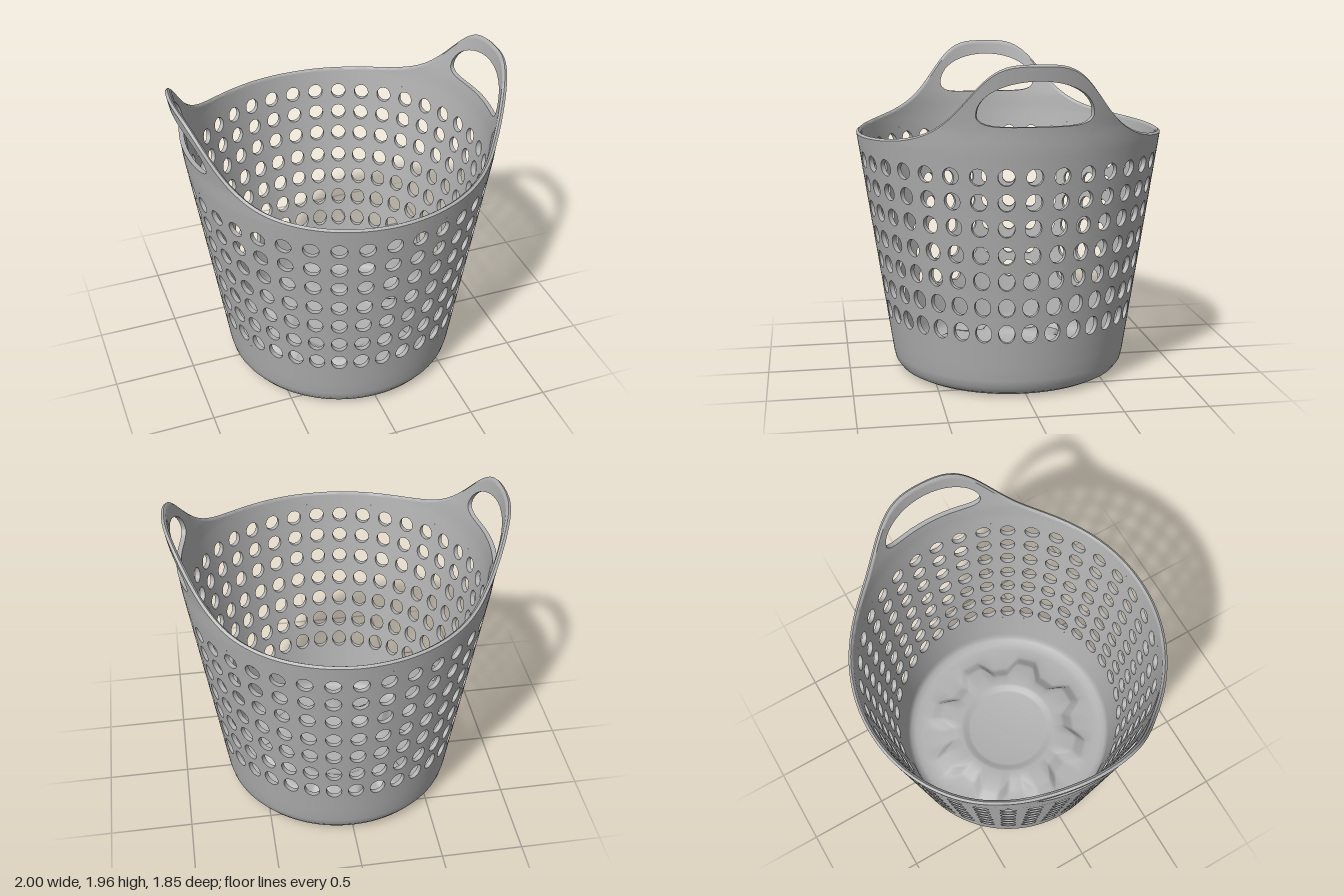
import * as THREE from 'three';
import { toCreasedNormals } from 'three/addons/utils/BufferGeometryUtils.js';

const T = 0.028;              // wall thickness
const COLS = 36;              // holes around
const ROWS = [0.41, 0.57, 0.73, 0.885, 1.045, 1.195, 1.34];
const WALL_BOTTOM = 0.33, WALL_TOP = 1.42;
const RAD = Math.PI / 180;

// Outer radius of the flaring wall at height y
function radius(y) {
  if (y < 1.49) return 0.705 + 0.1475 * y;
  if (y < 1.6) return 0.925 + (y - 1.49) * 0.1;
  return 0.936 + (y - 1.6) * 0.182;
}

const polar = (r, y, a) => [r * Math.cos(a), y, -r * Math.sin(a)];
// Point on the wall: p = [angle, height], s = 0 outer skin, 1 inner skin
const onWall = (p, s) => polar(radius(p[1]) - s * T, p[1], p[0]);

// Collects quads and turns them into a smooth mesh with sharp creases
class Builder {
  constructor() { this.pos = []; }
  quad(a, b, c, d) { this.pos.push(...a, ...b, ...c, ...a, ...c, ...d); }
  // Outer and inner face of a wall patch
  skin(a, b, c, d) {
    this.quad(onWall(a, 0), onWall(b, 0), onWall(c, 0), onWall(d, 0));
    this.quad(onWall(d, 1), onWall(c, 1), onWall(b, 1), onWall(a, 1));
  }
  // Closes the thickness along a to b, wall material on the left
  edge(a, b, bulge = 0) {
    const mid = (p) => polar(radius(p[1]) - T / 2, p[1] + bulge, p[0]);
    this.quad(onWall(a, 0), mid(a), mid(b), onWall(b, 0));
    this.quad(mid(a), onWall(a, 1), onWall(b, 1), mid(b));
  }
  mesh(name, material) {
    const g = new THREE.BufferGeometry();
    g.setAttribute('position', new THREE.Float32BufferAttribute(this.pos, 3));
    const m = new THREE.Mesh(toCreasedNormals(g, 0.9), material);
    m.name = name;
    return m;
  }
}

// Wall of cells, each a patch with an oval hole
function perforatedWall(material) {
  const b = new Builder(), N = 24, half = Math.PI / COLS;
  ROWS.forEach((y, i) => {
    const y0 = i ? (ROWS[i - 1] + y) / 2 : WALL_BOTTOM;
    const y1 = i < ROWS.length - 1 ? (ROWS[i + 1] + y) / 2 : WALL_TOP;
    const hw = 0.047 / radius(y), hh = 0.057 - 0.0015 * i;
    for (let c = 0; c < COLS; c++) {
      const mid = 2 * half * c, hole = [], border = [];
      for (let k = 0; k <= N; k++) {
        const a = -0.75 * Math.PI + (k % N) * 2 * Math.PI / N;
        const cx = Math.cos(a), cy = Math.sin(a), m = Math.max(Math.abs(cx), Math.abs(cy));
        hole.push([mid + hw * cx, y + hh * cy]);
        border.push([mid + half * cx / m, y + (cy > 0 ? y1 - y : y - y0) * cy / m]);
      }
      for (let k = 0; k < N; k++) {
        b.skin(hole[k], border[k], border[k + 1], hole[k + 1]);
        b.edge(hole[k + 1], hole[k]);
      }
    }
  });
  return b.mesh('perforatedWall', material);
}

// Upper band that sweeps up into two looped handles
function rimAndHandles(material) {
  const b = new Builder(), M = 6;
  const rim = (d) => 1.476 + 0.472 / (1 + Math.pow(Math.abs(d) / 25.5, 3.6));
  const endRatio = (1.68 - WALL_TOP) / (rim(20) - WALL_TOP);
  const column = (base, k) => {
    const open = Math.abs(k) <= 12;
    const u = Math.sin(k / 12 * Math.PI / 2);
    const d = open ? 20 * u : k * 5 / 3;
    const split = WALL_TOP + (rim(d) - WALL_TOP) * endRatio;
    return {
      a: base + d * RAD,
      top: rim(d),
      low: open ? 1.68 - 0.06 * Math.sqrt(Math.max(0, 1 - u ** 6)) : split,
      high: open ? 1.68 + 0.19 * Math.sqrt(Math.max(0, 1 - u * u)) : split,
    };
  };
  for (const base of [0, Math.PI]) {
    for (let k = -54; k < 54; k++) {
      const p = column(base, k), q = column(base, k + 1);
      const strip = (from, to) => {
        const at = (c, j) => [c.a, from(c) + (to(c) - from(c)) * j / M];
        for (let j = 0; j < M; j++) b.skin(at(p, j), at(q, j), at(q, j + 1), at(p, j + 1));
      };
      strip(() => WALL_TOP, (c) => c.low);
      strip((c) => c.high, (c) => c.top);
      b.edge([q.a, q.top], [p.a, p.top], 0.011);
      if (k >= -12 && k < 12) {
        b.edge([q.a, q.low], [p.a, p.low]);
        b.edge([p.a, p.high], [q.a, q.high]);
      }
    }
  }
  return b.mesh('rimAndHandles', material);
}

// Solid lower wall, rounded foot and floor with a raised eight-lobed plateau
function base(material) {
  const b = new Builder(), N = 216;
  const profile = (a) => {
    const s = 0.455 + 0.045 * THREE.MathUtils.clamp(1.7 * Math.cos(8 * a), -1, 1);
    // radius, height, how far the thickness goes inward rather than upward
    return [
      [0, 0.05, 0], [0.26, 0.05, 0], [0.275, 0.053, 0], [0.3, 0.072, 0], [0.32, 0.075, 0],
      [s - 0.04, 0.07, 0], [s - 0.015, 0.06, 0], [s + 0.025, 0.01, 0], [s + 0.05, 0.002, 0],
      [0.6, 0, 0], [0.645, 0.008, 0.2], [0.685, 0.03, 0.5], [0.71, 0.065, 0.8],
      [0.721, 0.11, 1], [radius(0.2), 0.2, 1], [radius(WALL_BOTTOM), WALL_BOTTOM, 1],
    ];
  };
  for (let i = 0; i < N; i++) {
    const a0 = i * 2 * Math.PI / N, a1 = (i + 1) * 2 * Math.PI / N;
    const p = profile(a0), q = profile(a1);
    const outer = (v, a) => polar(v[0], v[1], a);
    const inner = (v, a) => polar(v[0] - T * v[2], v[1] + T * (1 - v[2]), a);
    for (let j = 0; j < p.length - 1; j++) {
      b.quad(outer(p[j], a0), outer(q[j], a1), outer(q[j + 1], a1), outer(p[j + 1], a0));
      b.quad(inner(p[j + 1], a0), inner(q[j + 1], a1), inner(q[j], a1), inner(p[j], a0));
    }
  }
  return b.mesh('base', material);
}

export function createModel() {
  const plastic = new THREE.MeshStandardMaterial({ color: 0xb2b2b2 });
  plastic.name = 'grey plastic';
  const group = new THREE.Group();
  group.name = 'laundryBasket';
  group.add(base(plastic), perforatedWall(plastic), rimAndHandles(plastic));
  return group;
}
